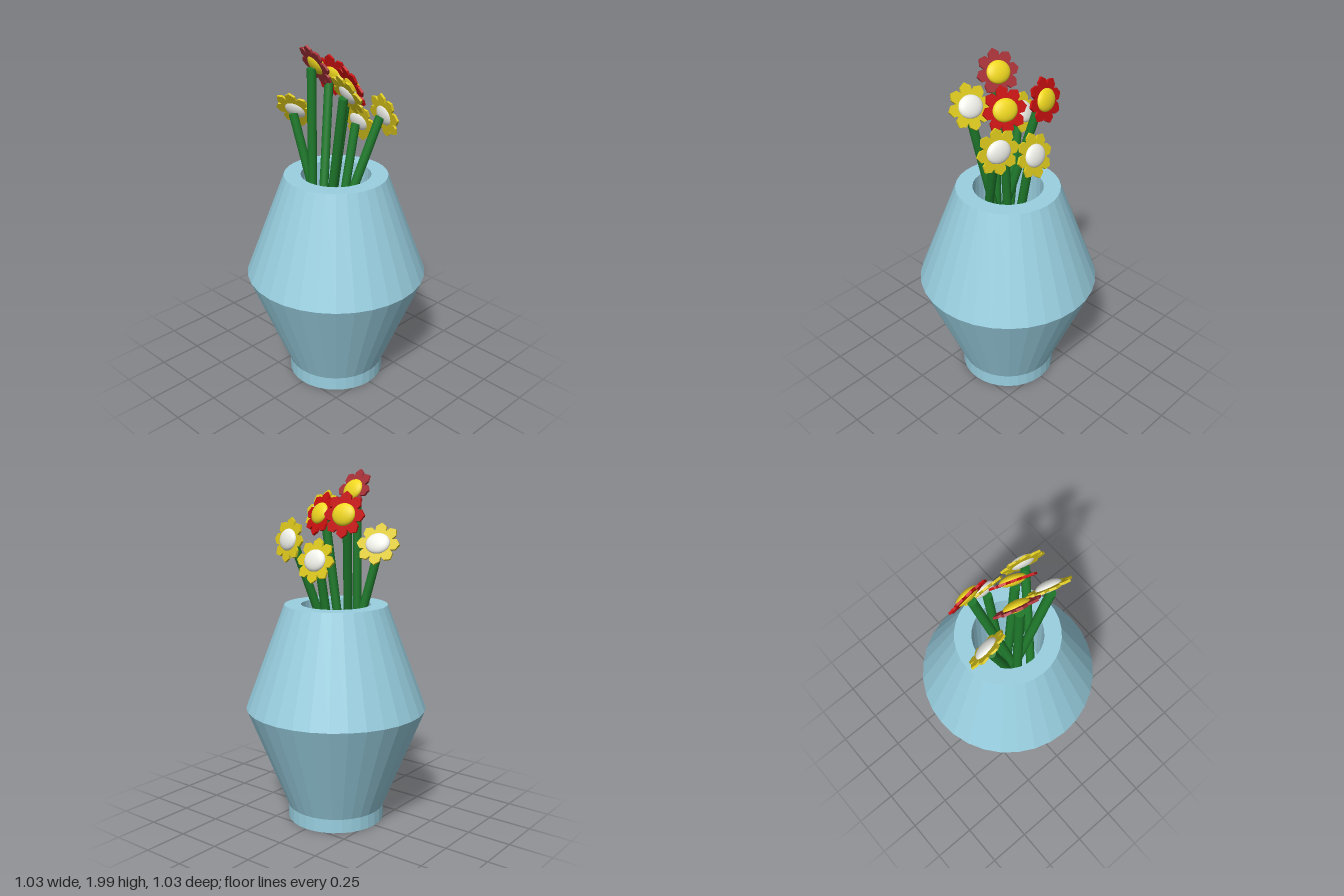
import * as THREE from 'three';

const paint = (color, flatShading = false) =>
  new THREE.MeshStandardMaterial({ color, flatShading });

function add(parent, name, geometry, material) {
  const mesh = new THREE.Mesh(geometry, material);
  mesh.name = name;
  parent.add(mesh);
  return mesh;
}

// Ring of eight pointed petals, facing +z
function petalGeometry() {
  const shape = new THREE.Shape();
  const count = 8;
  const corners = [[-0.5, 0.082], [-0.36, 0.108], [0, 0.125], [0.36, 0.108]];
  for (let i = 0; i < count; i++) {
    corners.forEach(([offset, r], k) => {
      const a = Math.PI / 2 + ((i + offset) / count) * Math.PI * 2;
      const x = r * Math.cos(a), y = r * Math.sin(a);
      if (i + k === 0) shape.moveTo(x, y);
      else shape.lineTo(x, y);
    });
  }
  shape.closePath();
  return new THREE.ExtrudeGeometry(shape, { depth: 0.012, bevelEnabled: false })
    .translate(0, 0, -0.012);
}

// Cylinder running between two points
function stemGeometry(from, to, radius) {
  const dir = to.clone().sub(from);
  const geo = new THREE.CylinderGeometry(radius, radius, dir.length(), 16);
  geo.applyQuaternion(new THREE.Quaternion().setFromUnitVectors(
    new THREE.Vector3(0, 1, 0), dir.clone().normalize()));
  const mid = from.clone().add(to).multiplyScalar(0.5);
  return geo.translate(mid.x, mid.y, mid.z);
}

export function createModel() {
  const model = new THREE.Group();
  model.name = 'vaseOfFlowers';

  // Faceted vase with a straight cavity
  const profile = [
    [0, 0], [0.278, 0], [0.278, 0.08], [0.513, 0.665],
    [0.29, 1.255], [0.196, 1.255], [0.196, 0.7], [0, 0.7],
  ].map(([r, y]) => new THREE.Vector2(r, y));
  add(model, 'vase', new THREE.LatheGeometry(profile, 32), paint(0x99cfe0, true));

  const green = paint(0x1f7a2c);
  const red = paint(0xc81010, true);
  const paleRed = paint(0xa83238, true);
  const yellow = paint(0xdcc81c, true);
  const gold = paint(0xf0d820);
  const white = paint(0xf0f0ea);
  const petals = petalGeometry();
  const dome = new THREE.SphereGeometry(0.07, 24, 16).scale(1, 0.87, 0.4);

  // Head position, facing direction, stem base [x, z], colours
  const flowers = [
    { at: [-0.105, 1.88, -0.037], face: [0.86, 0.45, 0.2], base: [-0.135, -0.05], petal: paleRed, eye: gold },
    { at: [0.05, 1.755, 0.073], face: [0.87, 0.38, 0.3], base: [-0.04, -0.06], petal: red, eye: gold },
    { at: [0.127, 1.76, -0.15], face: [0.95, 0.25, -0.08], base: [-0.15, 0.02], petal: red, eye: gold },
    { at: [0.19, 1.515, -0.005], face: [0.93, 0.3, 0], base: [0.0, -0.02], petal: yellow, eye: white },
    { at: [0.147, 1.61, 0.22], face: [0.95, 0.2, 0.22], base: [-0.165, 0.045], petal: yellow, eye: white },
    { at: [-0.09, 1.597, -0.217], face: [0.82, 0.5, -0.2], base: [-0.03, 0.0], petal: yellow, eye: white },
    { at: [-0.09, 1.765, 0.18], face: [0.85, 0.47, 0.2], base: [-0.05, -0.05], petal: yellow, eye: white },
  ];

  for (const f of flowers) {
    const flower = new THREE.Group();
    flower.name = 'flower';
    model.add(flower);

    const at = new THREE.Vector3(...f.at);
    const face = new THREE.Vector3(...f.face).normalize();

    // Stem, ending just behind the head
    const top = at.clone().addScaledVector(face, -0.034);
    add(flower, 'stem', stemGeometry(new THREE.Vector3(f.base[0], 0.7, f.base[1]), top, 0.025), green);

    // Head: petal ring and domed centre
    const head = new THREE.Group();
    head.name = 'flowerHead';
    head.position.copy(at);
    head.lookAt(at.clone().add(face));
    add(head, 'petals', petals, f.petal);
    add(head, 'flowerCentre', dome, f.eye);
    flower.add(head);
  }
  return model;
}
